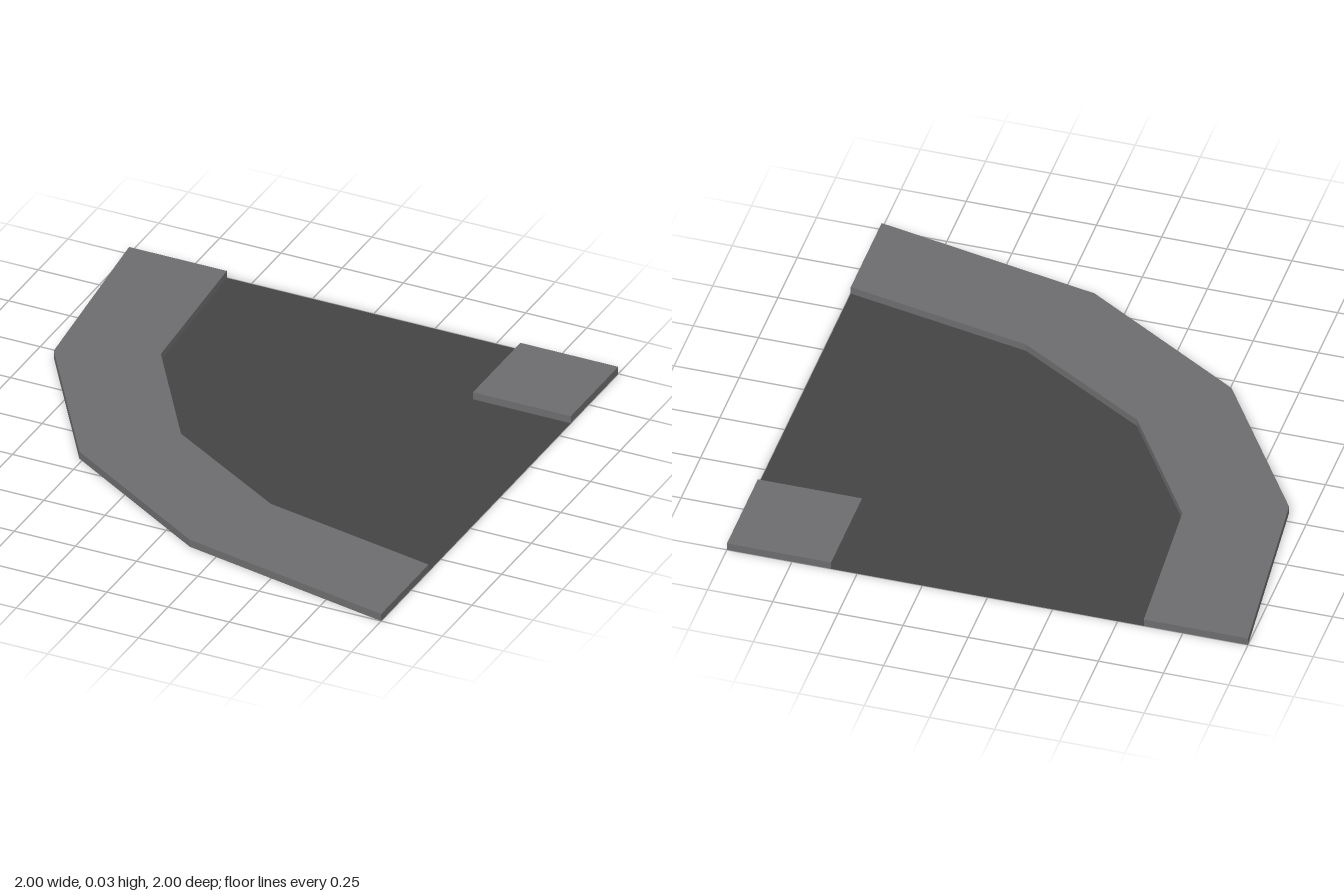
import * as THREE from 'three';
import { mergeGeometries } from 'three/addons/utils/BufferGeometryUtils.js';

const HEIGHT = 0.03;

// Plan points are [x, z], counter-clockwise seen from above
const outerCurve = [[-1, -1], [-0.92, -0.2], [-0.515, 0.42], [0.13, 0.82], [1, 1]];
const innerCurve = [[-0.6, -1], [-0.555, -0.35], [-0.235, 0.14], [0.285, 0.455], [1, 0.6]];
const cornerSquare = [[0.6, -1], [0.6, -0.6], [1, -0.6], [1, -1]];

// Flat horizontal face at height y
function flatFace(points, y) {
  const shape = new THREE.Shape(points.map(([x, z]) => new THREE.Vector2(x, -z)));
  return new THREE.ShapeGeometry(shape).rotateX(-Math.PI / 2).translate(0, y, 0).toNonIndexed();
}

// Raised slab: top face and a wall under every edge, open underneath
function slab(points) {
  const parts = [flatFace(points, HEIGHT)];
  points.forEach(([ax, az], i) => {
    const [bx, bz] = points[(i + 1) % points.length];
    const wall = new THREE.PlaneGeometry(Math.hypot(bx - ax, bz - az), HEIGHT);
    wall.rotateY(Math.atan2(az - bz, bx - ax));
    wall.translate((ax + bx) / 2, HEIGHT / 2, (az + bz) / 2);
    parts.push(wall.toNonIndexed());
  });
  return mergeGeometries(parts);
}

export function createModel() {
  const group = new THREE.Group();
  group.name = 'roadCorner';

  const pavement = new THREE.MeshStandardMaterial({ color: 0x6c6c6e, side: THREE.DoubleSide });
  pavement.name = 'pavement grey';
  const asphalt = new THREE.MeshStandardMaterial({ color: 0x444444, side: THREE.DoubleSide });
  asphalt.name = 'asphalt grey';

  const add = (name, geometry, material) => {
    const mesh = new THREE.Mesh(geometry, material);
    mesh.name = name;
    group.add(mesh);
  };

  // Road surface between the two pavements
  add('road', flatFace([...innerCurve, [1, -0.6], [0.6, -0.6], [0.6, -1]], 0), asphalt);
  // Curved pavement on the outside of the bend
  add('outerPavement', slab([...outerCurve, ...innerCurve.slice().reverse()]), pavement);
  // Small square pavement on the inside of the bend
  add('cornerPavement', slab(cornerSquare), pavement);

  return group;
}
